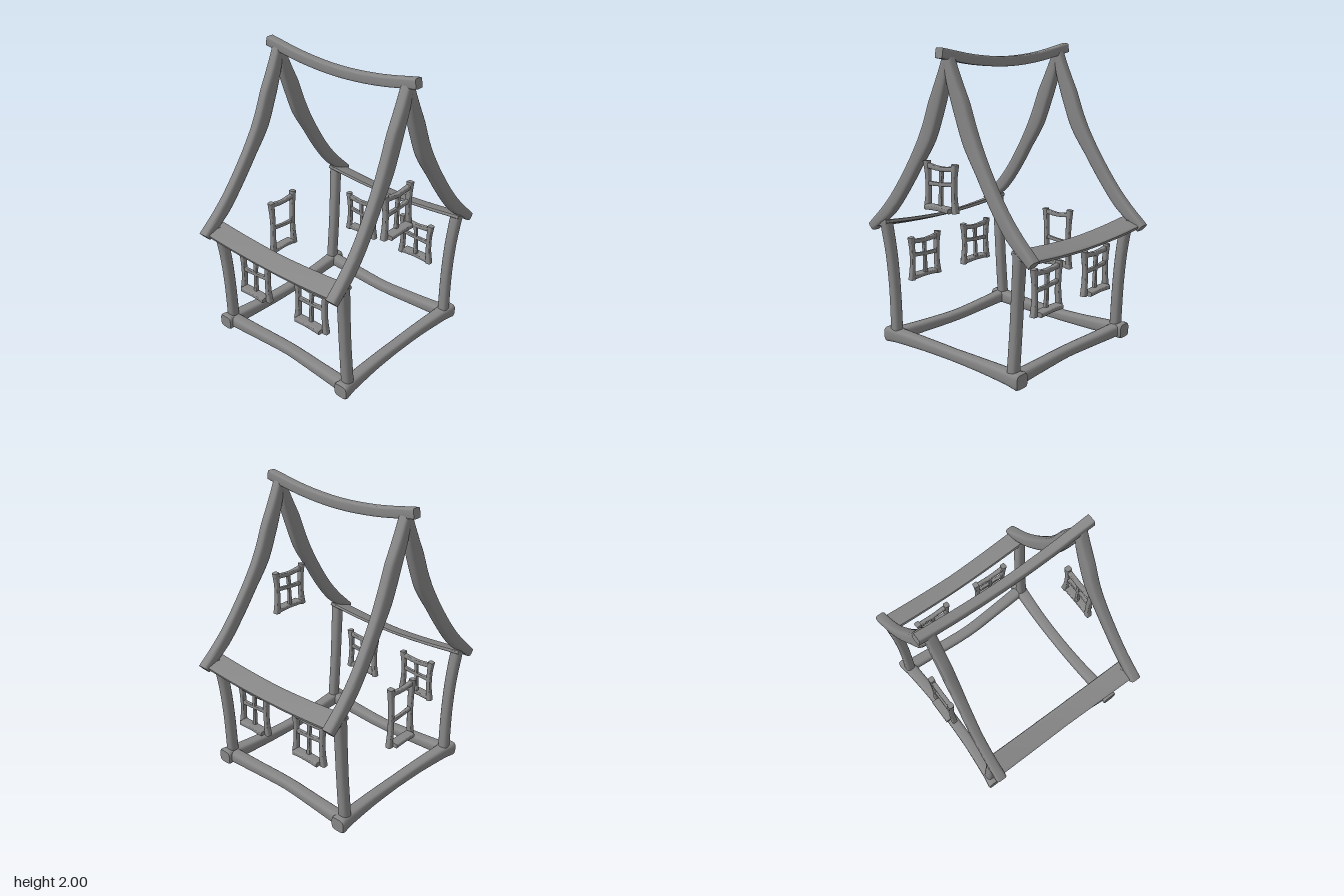
import * as THREE from 'three';
import { toCreasedNormals } from 'three/addons/utils/BufferGeometryUtils.js';

const material = new THREE.MeshStandardMaterial({ color: 0x868686 });
const SIDES = 16;

// Hand-hewn timber: stations are [x, y, z, halfAcross, halfDepth]; `depth` is the fixed section axis.
// `square` runs from 1 (round log) down to 0.2 (nearly square).
function timber(name, stations, depth, square = 0.5, steps = 12) {
  const curve = new THREE.CatmullRomCurve3(stations.map(s => new THREE.Vector3(s[0], s[1], s[2])));
  const D = new THREE.Vector3(...depth).normalize();
  const pos = [], index = [], last = stations.length - 1;
  const power = v => Math.sign(v) * Math.pow(Math.abs(v), square);
  for (let i = 0; i <= steps; i++) {
    const t = i / steps, k = Math.min(Math.floor(t * last), last - 1), f = t * last - k;
    const a = THREE.MathUtils.lerp(stations[k][3], stations[k + 1][3], f);
    const b = THREE.MathUtils.lerp(stations[k][4], stations[k + 1][4], f);
    const p = curve.getPoint(t);
    const S = D.clone().cross(curve.getTangent(t)).normalize();
    for (let j = 0; j < SIDES; j++) {
      const w = (j + 0.5) / SIDES * Math.PI * 2;
      const v = p.clone().addScaledVector(S, a * power(Math.cos(w))).addScaledVector(D, b * power(Math.sin(w)));
      pos.push(v.x, v.y, v.z);
    }
  }
  for (let i = 0; i < steps; i++) {
    for (let j = 0; j < SIDES; j++) {
      const a = i * SIDES + j, b = i * SIDES + (j + 1) % SIDES;
      index.push(a, b, b + SIDES, a, b + SIDES, a + SIDES);
    }
  }
  // end caps
  const end = steps * SIDES;
  for (let j = 1; j < SIDES - 1; j++) {
    index.push(0, j + 1, j, end, end + j, end + j + 1);
  }
  const geo = new THREE.BufferGeometry();
  geo.setAttribute('position', new THREE.Float32BufferAttribute(pos, 3));
  geo.setIndex(index);
  const mesh = new THREE.Mesh(toCreasedNormals(geo, 0.7), material);
  mesh.name = name;
  return mesh;
}

// Crooked frame centred on x = 0, standing on y = 0 and facing +z; jambTops are the left and right heights.
function windowFrame(name, w, jambTops, railY, mullion) {
  const g = new THREE.Group();
  g.name = name;
  const Z = [0, 0, 1], x = w / 2 - 0.02, h = (jambTops[0] + jambTops[1]) / 2;
  [-1, 1].forEach((s, i) => {
    g.add(timber('jamb', [
      [s * x, 0, 0, 0.02, 0.02], [s * (x - 0.009), h * 0.25, 0, 0.016, 0.018], [s * (x - 0.012), h * 0.5, 0, 0.015, 0.017],
      [s * (x - 0.009), h * 0.75, 0, 0.016, 0.018], [s * x, jambTops[i], 0, 0.02, 0.02],
    ], Z, 0.4, 8));
  });
  g.add(timber('header', [
    [-x, h - 0.028, 0, 0.016, 0.016], [0, h - 0.04, 0, 0.014, 0.016], [x, h - 0.028, 0, 0.016, 0.016],
  ], Z, 0.4, 6));
  g.add(timber('sill', [
    [-x + 0.02, 0.016, 0.017, 0.016, 0.034], [0, 0.02, 0.017, 0.014, 0.034], [x - 0.02, 0.016, 0.017, 0.016, 0.034],
  ], Z, 0.35, 6));
  g.add(timber('rail', [
    [-x, railY - 0.008, 0, 0.014, 0.013], [0, railY - 0.003, 0, 0.012, 0.012], [x, railY + 0.01, 0, 0.014, 0.013],
  ], Z, 0.4, 6));
  if (mullion) {
    g.add(timber('mullion', [
      [-0.004, 0.02, 0, 0.014, 0.013], [0, h / 2, 0, 0.011, 0.012], [0.006, h - 0.035, 0, 0.014, 0.013],
    ], Z, 0.4, 6));
  }
  return g;
}

export function createModel() {
  const house = new THREE.Group();
  house.name = 'timberHouseFrame';

  for (const s of [-1, 1]) {
    // ground beams, bowed inwards, with swollen ends
    const half = [[0.6, 0.055, 0.546, 0.049, 0.046], [0.585, 0.054, 0.546, 0.053, 0.053], [0.5, 0.053, 0.54, 0.045, 0.045],
      [0.25, 0.049, 0.523, 0.041, 0.038]];
    const mid = [0, 0.047, 0.518, 0.04, 0.034];
    const run = [...half.map(([x, ...r]) => [-x, ...r]), mid, ...half.slice().reverse()];
    house.add(timber('gableGroundBeam', run.map(([x, y, z, a, b]) => [x, y, s * z, a, b]), [0, 1, 0], 0.5, 24));
    house.add(timber('sideGroundBeam', [
      [s * 0.54, 0.055, -0.56, 0.045, 0.043], [s * 0.52, 0.05, -0.27, 0.042, 0.037], [s * 0.505, 0.048, 0, 0.041, 0.034],
      [s * 0.52, 0.05, 0.27, 0.042, 0.037], [s * 0.54, 0.055, 0.56, 0.045, 0.043],
    ], [0, 1, 0], 0.6));

    // eave planks, sagging between the gables
    house.add(timber('eavePlank', [
      [s * 0.62, 0.832, -0.59, 0.015, 0.073], [s * 0.616, 0.808, -0.3, 0.013, 0.071], [s * 0.613, 0.797, 0, 0.012, 0.069],
      [s * 0.616, 0.808, 0.3, 0.013, 0.071], [s * 0.62, 0.832, 0.59, 0.015, 0.073],
    ], [s * 0.13, -0.042, 0], 0.25));

    for (const q of [-1, 1]) {
      // corner posts
      house.add(timber('cornerPost', [
        [s * 0.525, 0.06, q * 0.543, 0.036, 0.036], [s * 0.542, 0.38, q * 0.536, 0.035, 0.035],
        [s * 0.56, 0.62, q * 0.541, 0.035, 0.036], [s * 0.587, 0.85, q * 0.556, 0.037, 0.038],
      ], [0, 0, 1], 0.65));
      // curved gable rafters, meeting under the ridge
      house.add(timber('rafter', [
        [s * 0.004, 1.935, q * 0.53, 0.028, 0.034], [s * 0.046, 1.8, q * 0.53, 0.044, 0.037],
        [s * 0.103, 1.66, q * 0.53, 0.055, 0.037],
        [s * 0.185, 1.455, q * 0.533, 0.056, 0.036], [s * 0.29, 1.28, q * 0.542, 0.046, 0.034],
        [s * 0.42, 1.085, q * 0.554, 0.045, 0.033], [s * 0.535, 0.945, q * 0.56, 0.045, 0.034],
        [s * 0.7, 0.8, q * 0.566, 0.032, 0.037],
      ], [0, 0, 1], 0.5, 28));
      // side windows
      const win = windowFrame('sideWindow', 0.29, [0.305, 0.305], 0.17, true);
      win.position.set(s * 0.545, 0.4, q * 0.255);
      win.rotation.y = s * Math.PI / 2;
      house.add(win);
    }
  }

  // sagging ridge beam
  house.add(timber('ridgeBeam', [
    [0, 1.969, -0.608, 0.032, 0.031], [0, 1.919, -0.31, 0.032, 0.03], [0, 1.899, 0, 0.032, 0.029],
    [0, 1.919, 0.31, 0.032, 0.03], [0, 1.969, 0.608, 0.032, 0.031],
  ], [1, 0, 0], 0.3, 16));

  // attic window at the front, door frame at the back
  const attic = windowFrame('atticWindow', 0.29, [0.305, 0.305], 0.17, true);
  attic.position.set(-0.07, 0.995, 0.541);
  house.add(attic);
  const door = windowFrame('doorFrame', 0.26, [0.435, 0.418], 0.2, false);
  door.position.set(0, 0.4, -0.549);
  door.rotation.y = Math.PI;
  house.add(door);

  return house;
}
